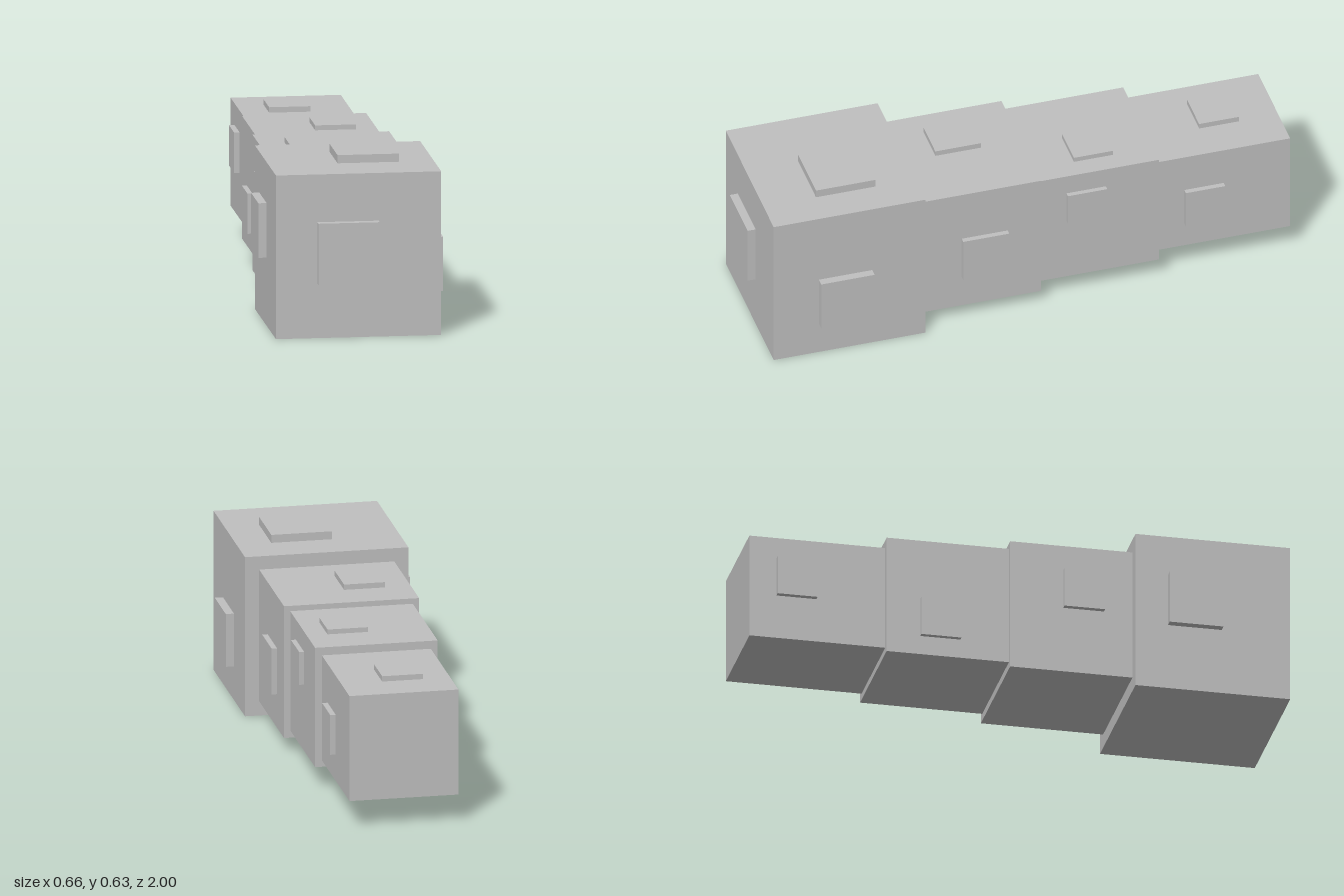
import * as THREE from 'three';

const grey = new THREE.MeshStandardMaterial({ color: 0xc0c0c0 });
grey.name = 'grey';

// Box given by its [min, max] range on each axis
function block(name, [x0, x1], [y0, y1], [z0, z1]) {
  const mesh = new THREE.Mesh(new THREE.BoxGeometry(x1 - x0, y1 - y0, z1 - z0), grey);
  mesh.position.set((x0 + x1) / 2, (y0 + y1) / 2, (z0 + z1) / 2);
  mesh.name = name;
  return mesh;
}

// Body segments from front to back: half width, height and depth ranges,
// panel thickness t, then the outlines of the raised panels
const segments = [
  { name: 'head', w: 0.3, y: [0, 0.6], z: [0.4, 0.97], t: 0.03,
    top: { x: [-0.05, 0.173], z: [0.55, 0.773] },
    left: { y: [0.127, 0.326], z: [0.6, 0.8] },
    right: { y: [0.25, 0.45], z: [0.52, 0.718] },
    front: { x: [-0.15, 0.073], y: [0.2, 0.425] } },
  { name: 'frontBody', w: 0.248, y: [0.053, 0.55], z: [-0.05, 0.4], t: 0.02,
    top: { x: [-0.153, -0.003], z: [0.1, 0.272] },
    left: { y: [0.18, 0.353], z: [0.075, 0.248] },
    right: { y: [0.305, 0.455], z: [0.146, 0.295] } },
  { name: 'middleBody', w: 0.225, y: [0.08, 0.53], z: [-0.5, -0.05], t: 0.018,
    top: { x: [0, 0.149], z: [-0.35, -0.203] },
    left: { y: [0.33, 0.454], z: [-0.3, -0.152] },
    right: { y: [0.152, 0.3], z: [-0.376, -0.228] } },
  { name: 'rearBody', w: 0.2, y: [0.104, 0.5], z: [-1, -0.5], t: 0.02,
    top: { x: [-0.1, 0.05], z: [-0.852, -0.703] },
    left: { y: [0.203, 0.353], z: [-0.75, -0.602] },
    right: { y: [0.272, 0.42], z: [-0.9, -0.753] } },
];

export function createModel() {
  const model = new THREE.Group();
  model.name = 'segmentedBody';

  for (const { name, w, y, z, t, top, left, right, front } of segments) {
    const segment = new THREE.Group();
    segment.name = name;
    segment.add(
      block(name + 'Block', [-w, w], y, z),
      block(name + 'TopPanel', top.x, [y[1], y[1] + t], top.z),
      block(name + 'LeftPanel', [w, w + t], left.y, left.z),
      block(name + 'RightPanel', [-w - t, -w], right.y, right.z),
    );
    // Only the head carries a panel on its front face
    if (front) segment.add(block(name + 'FrontPanel', front.x, front.y, [z[1], z[1] + t]));
    model.add(segment);
  }
  return model;
}
